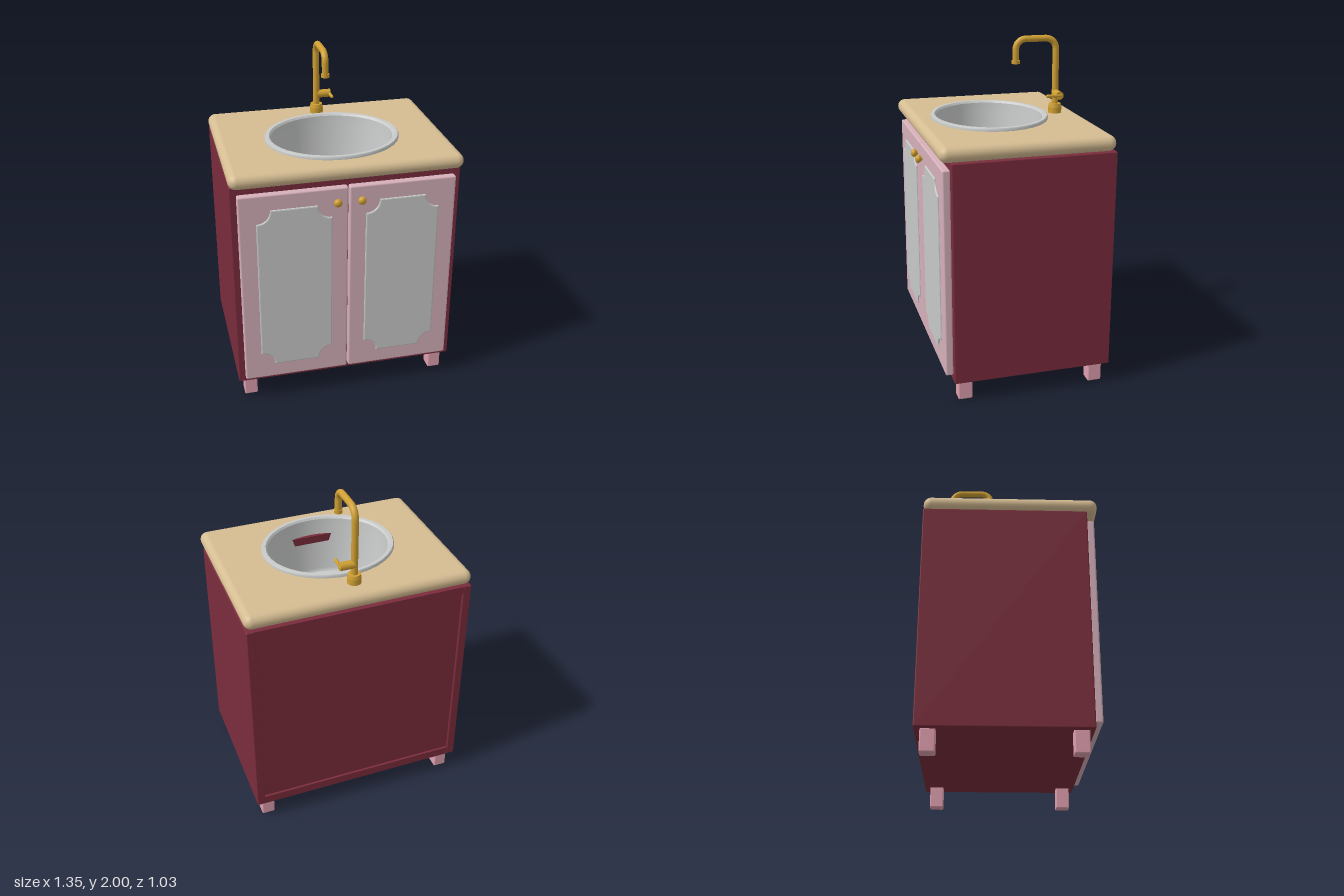
import * as THREE from 'three';
import { RoundedBoxGeometry } from 'three/addons/geometries/RoundedBoxGeometry.js';

const mat = (name, color, extra = {}) => {
  const m = new THREE.MeshStandardMaterial({ color, ...extra });
  m.name = name;
  return m;
};

export function createModel() {
  const burgundy = mat('burgundy paint', 0x7a2c3c);
  const doorPink = mat('door pink', 0xd6b0ba);
  const legPink = mat('leg pink', 0xdf9fae);
  const stone = mat('cream stone', 0xd5bc92);
  const steel = mat('grey steel', 0xc8cac9, { side: THREE.DoubleSide });
  const gold = mat('gold', 0xcf9f32);

  const root = new THREE.Group();
  root.name = 'sinkCabinet';
  const group = (name, parent = root) => {
    const g = new THREE.Group();
    g.name = name;
    parent.add(g);
    return g;
  };
  const add = (parent, name, geo, material, x = 0, y = 0, z = 0) => {
    const m = new THREE.Mesh(geo, material);
    m.name = name;
    m.position.set(x, y, z);
    parent.add(m);
    return m;
  };
  // Box given by its min and max corners, with optional rounded edges
  const box = (parent, name, material, [x0, y0, z0], [x1, y1, z1], r = 0) => {
    const s = [x1 - x0, y1 - y0, z1 - z0];
    const geo = r ? new RoundedBoxGeometry(...s, 3, r) : new THREE.BoxGeometry(...s);
    return add(parent, name, geo, material, (x0 + x1) / 2, (y0 + y1) / 2, (z0 + z1) / 2);
  };
  const cyl = (r, h, r2 = r) => new THREE.CylinderGeometry(r, r2, h, 24);

  // Hollow carcass: sides, floor, recessed back, front board and rails
  const cabinet = group('cabinet');
  for (const s of [-1, 1]) {
    const x = [s * 0.62, s * 0.67].sort((a, b) => a - b);
    box(cabinet, 'sidePanel', burgundy, [x[0], 0.125, -0.515], [x[1], 1.435, 0.43], 0.006);
  }
  box(cabinet, 'bottomPanel', burgundy, [-0.66, 0.126, -0.514], [0.66, 0.18, 0.429]);
  box(cabinet, 'backPanel', burgundy, [-0.63, 0.17, -0.5], [0.63, 1.4, -0.47]);
  box(cabinet, 'backTopRail', burgundy, [-0.63, 1.385, -0.514], [0.63, 1.434, -0.45]);
  box(cabinet, 'frontBoard', burgundy, [-0.63, 0.17, 0.4], [0.63, 1.4, 0.428]);
  box(cabinet, 'frontTopRail', burgundy, [-0.63, 1.385, 0.33], [0.63, 1.434, 0.429]);

  // Legs
  for (const x of [-0.595, 0.595]) for (const z of [-0.44, 0.36])
    box(root, 'leg', legPink, [x - 0.04, 0, z - 0.042], [x + 0.04, 0.13, z + 0.042], 0.008);

  // Door inlay outline with scooped corners
  const inlay = new THREE.Shape();
  const w = 0.21, h = 0.512, r = 0.08;
  inlay.moveTo(-w + r, -h);
  inlay.lineTo(w - r, -h);
  inlay.absarc(w, -h, r, Math.PI, Math.PI / 2, true);
  inlay.lineTo(w, h - r);
  inlay.absarc(w, h, r, Math.PI * 1.5, Math.PI, true);
  inlay.lineTo(-w + r, h);
  inlay.absarc(-w, h, r, 0, -Math.PI / 2, true);
  inlay.lineTo(-w, -h + r);
  inlay.absarc(-w, -h, r, Math.PI / 2, 0, true);
  const inlayGeo = new THREE.ExtrudeGeometry(inlay, {
    depth: 0.004, bevelThickness: 0.006, bevelSize: 0.007, bevelSegments: 2, curveSegments: 10,
  });

  // Mirrored doors with inlays and knobs
  for (const s of [-1, 1]) {
    const door = group(s > 0 ? 'leftDoor' : 'rightDoor');
    const x = [s * 0.004, s * 0.632].sort((a, b) => a - b);
    box(door, 'doorFrame', doorPink, [x[0], 0.165, 0.428], [x[1], 1.392, 0.474], 0.01);
    add(door, 'doorInlay', inlayGeo, steel, s * 0.316, 0.779, 0.472);
    add(door, 'knobStem', cyl(0.011, 0.03), gold, s * 0.07, 1.31, 0.482).rotation.x = Math.PI / 2;
    add(door, 'knob', new THREE.SphereGeometry(0.024, 20, 14), gold, s * 0.07, 1.31, 0.497).scale.z = 0.8;
  }

  // Countertop: slab with an oval opening and a rounded rim
  const top = group('countertop');
  const R = 0.045, X = 0.675 - R, Z0 = -0.515 + R, Z1 = 0.493 - R, Y = 1.48;
  const slab = new THREE.Shape();
  slab.moveTo(-X, -Z1);
  slab.lineTo(X, -Z1);
  slab.lineTo(X, -Z0);
  slab.lineTo(-X, -Z0);
  slab.closePath();
  const hole = new THREE.Path();
  hole.absellipse(0, -0.045, 0.38, 0.332, 0, Math.PI * 2, true);
  slab.holes.push(hole);
  const slabGeo = new THREE.ExtrudeGeometry(slab, { depth: 2 * R, bevelEnabled: false, curveSegments: 24 });
  slabGeo.rotateX(-Math.PI / 2);
  add(top, 'slab', slabGeo, stone, 0, Y - R, 0);
  for (const z of [Z0, Z1]) {
    add(top, 'longEdge', cyl(R, 2 * X), stone, 0, Y, z).rotation.z = Math.PI / 2;
    for (const x of [-X, X])
      add(top, 'corner', new THREE.SphereGeometry(R, 24, 16), stone, x, Y, z);
  }
  for (const x of [-X, X])
    add(top, 'shortEdge', cyl(R, Z1 - Z0), stone, x, Y, (Z0 + Z1) / 2).rotation.x = Math.PI / 2;

  // Oval basin; doubled points keep creases sharp
  const basin = group('basin');
  basin.position.set(0, 0, 0.045);
  const profile = [
    [0.4, 1.52], [0.4, 1.536], [0.394, 1.544], [0.394, 1.544], [0.372, 1.544], [0.372, 1.544],
    [0.362, 1.532], [0.362, 1.532], [0.356, 1.47], [0.32, 1.2], [0.305, 1.18], [0.305, 1.18], [0, 1.18],
  ].map(([x, y]) => new THREE.Vector2(x, y));
  add(basin, 'bowl', new THREE.LatheGeometry(profile, 40), steel).scale.z = 0.875;
  add(basin, 'drainRing', new THREE.TorusGeometry(0.034, 0.005, 8, 28), steel, 0, 1.181, 0).rotation.x = Math.PI / 2;
  add(basin, 'drainPlug', cyl(0.02, 0.006), doorPink, 0, 1.183, 0);

  // Faucet with a bent spout and side lever
  const faucet = group('faucet');
  faucet.position.set(0, 0, -0.374);
  add(faucet, 'base', cyl(0.041, 0.035), gold, 0, 1.5425, 0);
  add(faucet, 'baseCollar', cyl(0.036, 0.022, 0.041), gold, 0, 1.571, 0);
  const V = (y, z) => new THREE.Vector3(0, y, z);
  const path = new THREE.CurvePath();
  path.add(new THREE.LineCurve3(V(1.55, 0), V(1.91, 0)));
  path.add(new THREE.CubicBezierCurve3(V(1.91, 0), V(1.952, 0), V(1.98, 0.028), V(1.98, 0.07)));
  path.add(new THREE.LineCurve3(V(1.98, 0.07), V(1.98, 0.19)));
  path.add(new THREE.CubicBezierCurve3(V(1.98, 0.19), V(1.98, 0.225), V(1.955, 0.252), V(1.92, 0.252)));
  path.add(new THREE.LineCurve3(V(1.92, 0.252), V(1.845, 0.252)));
  add(faucet, 'spout', new THREE.TubeGeometry(path, 90, 0.02, 18), gold);
  add(faucet, 'spoutTip', cyl(0.025, 0.02), gold, 0, 1.845, 0.252);
  add(faucet, 'handle', cyl(0.025, 0.085), gold, 0.046, 1.644, 0).rotation.z = Math.PI / 2;
  const lever = add(faucet, 'lever', new THREE.CapsuleGeometry(0.01, 0.085, 6, 14), gold, 0.083, 1.644, 0.032);
  lever.rotation.x = Math.PI / 2;

  return root;
}
